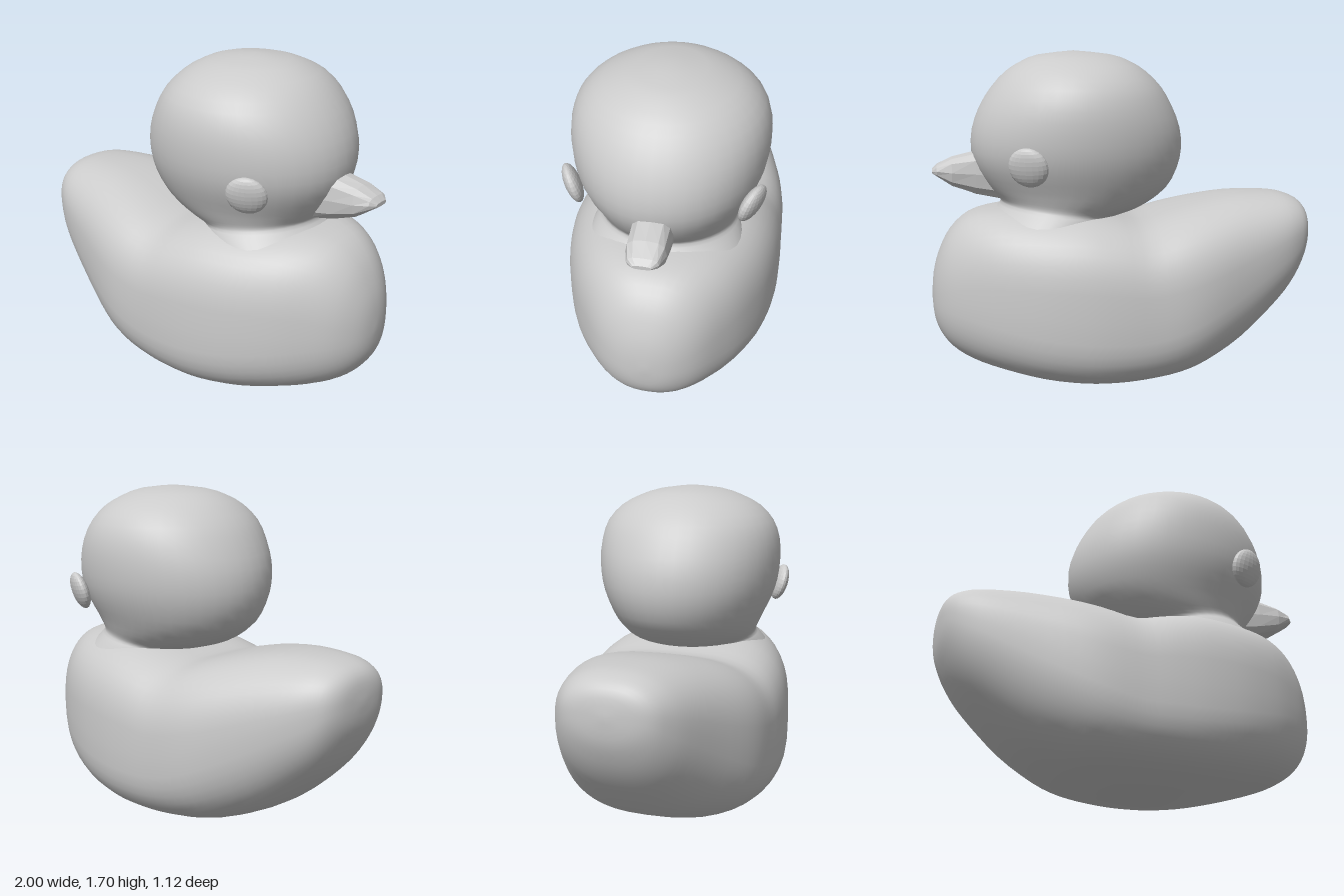
import * as THREE from 'three';
import { mergeVertices } from 'three/addons/utils/BufferGeometryUtils.js';

const spow = (v, p) => Math.sign(v) * Math.pow(Math.abs(v), p);

// Catmull-Rom refinement of a table of ring parameters
function refine(keys, steps) {
  const out = [];
  const at = (i) => keys[Math.min(keys.length - 1, Math.max(0, i))];
  for (let i = 0; i < keys.length - 1; i++) {
    for (let s = 0; s < steps; s++) {
      const t = s / steps;
      out.push(keys[i].map((b, k) => {
        const a = at(i - 1)[k], c = at(i + 1)[k], d = at(i + 2)[k];
        return b + 0.5 * t * (c - a + t * (2 * a - 5 * b + 4 * c - d + t * (3 * (b - c) + d - a)));
      }));
    }
  }
  out.push(keys[keys.length - 1]);
  return out;
}

// Closed skin over rings; point(ring, angle) gives each position
function loft(rings, sides, point) {
  const pos = [], idx = [];
  rings.forEach((r, i) => {
    for (let j = 0; j < sides; j++) {
      pos.push(...point(r, (j / sides) * Math.PI * 2));
      if (i === rings.length - 1) continue;
      const n = (j + 1) % sides, a = i * sides + j, b = i * sides + n;
      idx.push(a, a + sides, b + sides, a, b + sides, b);
    }
  });
  let g = new THREE.BufferGeometry();
  g.setAttribute('position', new THREE.Float32BufferAttribute(pos, 3));
  g.setIndex(idx);
  g = mergeVertices(g, 1e-4);
  g.computeVertexNormals();
  return g;
}

// Upright ring across x: [x, bottom, top, halfWidth, widestHeight 0..1, squareness]
function crossSection([x, lo, hi, half, frac, n], a) {
  const mid = lo + (hi - lo) * frac, s = Math.sin(a);
  const y = mid + (s > 0 ? hi - mid : mid - lo) * spow(s, 2 / n);
  return [x, y, Math.max(0, half) * spow(Math.cos(a), 2 / n)];
}

// Tilted level ring: [yBack, yFront, xBack, xFront, halfWidth]
function levelRing([yb, yf, xb, xf, half], a) {
  const c = Math.cos(a), t = (c + 1) / 2;
  return [xb + (xf - xb) * t, yb + (yf - yb) * t, half * Math.sin(a)];
}

export function createModel() {
  const group = new THREE.Group();
  const smooth = new THREE.MeshStandardMaterial({ color: 0xcccccc });
  const faceted = new THREE.MeshStandardMaterial({ color: 0xcccccc, flatShading: true });
  const add = (name, geometry, material) => {
    const mesh = new THREE.Mesh(geometry, material);
    mesh.name = name;
    group.add(mesh);
    return mesh;
  };

  // Body, from raised tail to chest
  const body = [
    [-1, 0.76, 0.76, 0, 0.55, 2.3],
    [-0.99, 0.66, 0.85, 0.13, 0.55, 2.3],
    [-0.96, 0.57, 0.905, 0.215, 0.55, 2.3],
    [-0.9, 0.46, 0.937, 0.275, 0.55, 2.4],
    [-0.8, 0.34, 0.955, 0.335, 0.55, 2.4],
    [-0.6, 0.17, 0.955, 0.42, 0.53, 2.5],
    [-0.4, 0.07, 0.925, 0.5, 0.5, 2.7],
    [-0.25, 0.03, 0.89, 0.537, 0.48, 2.9],
    [-0.08, 0.012, 0.848, 0.55, 0.47, 3.1],
    [0.08, 0.005, 0.88, 0.558, 0.46, 3.2],
    [0.25, 0.01, 0.91, 0.55, 0.45, 3.2],
    [0.45, 0.035, 0.915, 0.51, 0.45, 3.1],
    [0.65, 0.08, 0.912, 0.43, 0.45, 2.9],
    [0.8, 0.125, 0.88, 0.335, 0.45, 2.6],
    [0.9, 0.185, 0.795, 0.25, 0.45, 2.4],
    [0.96, 0.26, 0.68, 0.165, 0.45, 2.3],
    [0.99, 0.34, 0.57, 0.085, 0.45, 2.2],
    [1, 0.45, 0.45, 0, 0.45, 2.2],
  ];
  add('body', loft(refine(body, 3), 48, crossSection), smooth);

  // Neck and head, from the collar to the crown
  const head = [
    [0.8, 0.85, 0.06, 0.72, 0.39],
    [0.85, 0.905, 0.04, 0.66, 0.36],
    [0.865, 0.94, 0.02, 0.635, 0.34],
    [0.885, 0.965, -0.05, 0.65, 0.345],
    [0.92, 0.99, -0.13, 0.672, 0.362],
    [1.0, 1.03, -0.235, 0.705, 0.392],
    [1.1, 1.11, -0.29, 0.753, 0.435],
    [1.2, 1.2, -0.31, 0.78, 0.466],
    [1.31, 1.31, -0.3, 0.775, 0.48],
    [1.42, 1.42, -0.258, 0.737, 0.476],
    [1.52, 1.52, -0.2, 0.675, 0.443],
    [1.6, 1.6, -0.12, 0.6, 0.37],
    [1.65, 1.65, -0.04, 0.52, 0.275],
    [1.685, 1.685, 0.06, 0.43, 0.165],
    [1.705, 1.705, 0.25, 0.25, 0],
  ];
  add('head', loft(refine(head, 2), 40, levelRing), smooth);

  // Beak, a faceted wedge
  const beak = [
    [0.6, 1.08, 1.08, 0, 0.5, 2.8],
    [0.62, 0.945, 1.2, 0.095, 0.5, 2.8],
    [0.76, 0.975, 1.2, 0.097, 0.5, 2.8],
    [0.88, 1.02, 1.172, 0.095, 0.5, 2.8],
    [0.955, 1.073, 1.135, 0.075, 0.5, 2.8],
    [0.98, 1.09, 1.11, 0.045, 0.5, 2.8],
    [0.98, 1.1, 1.1, 0, 0.5, 2.8],
  ];
  add('beak', loft(beak, 12, crossSection), faceted);

  // Eyes, flattened discs lying on the cheeks
  for (const side of [1, -1]) {
    const eye = add(side > 0 ? 'leftEye' : 'rightEye', new THREE.SphereGeometry(0.1, 20, 14), faceted);
    eye.scale.z = 0.4;
    eye.position.set(0.52, 1.16, side * 0.43);
    eye.lookAt(0.52 + 0.4, 1.16 - 0.3, side * (0.43 + 0.9));
  }
  return group;
}
